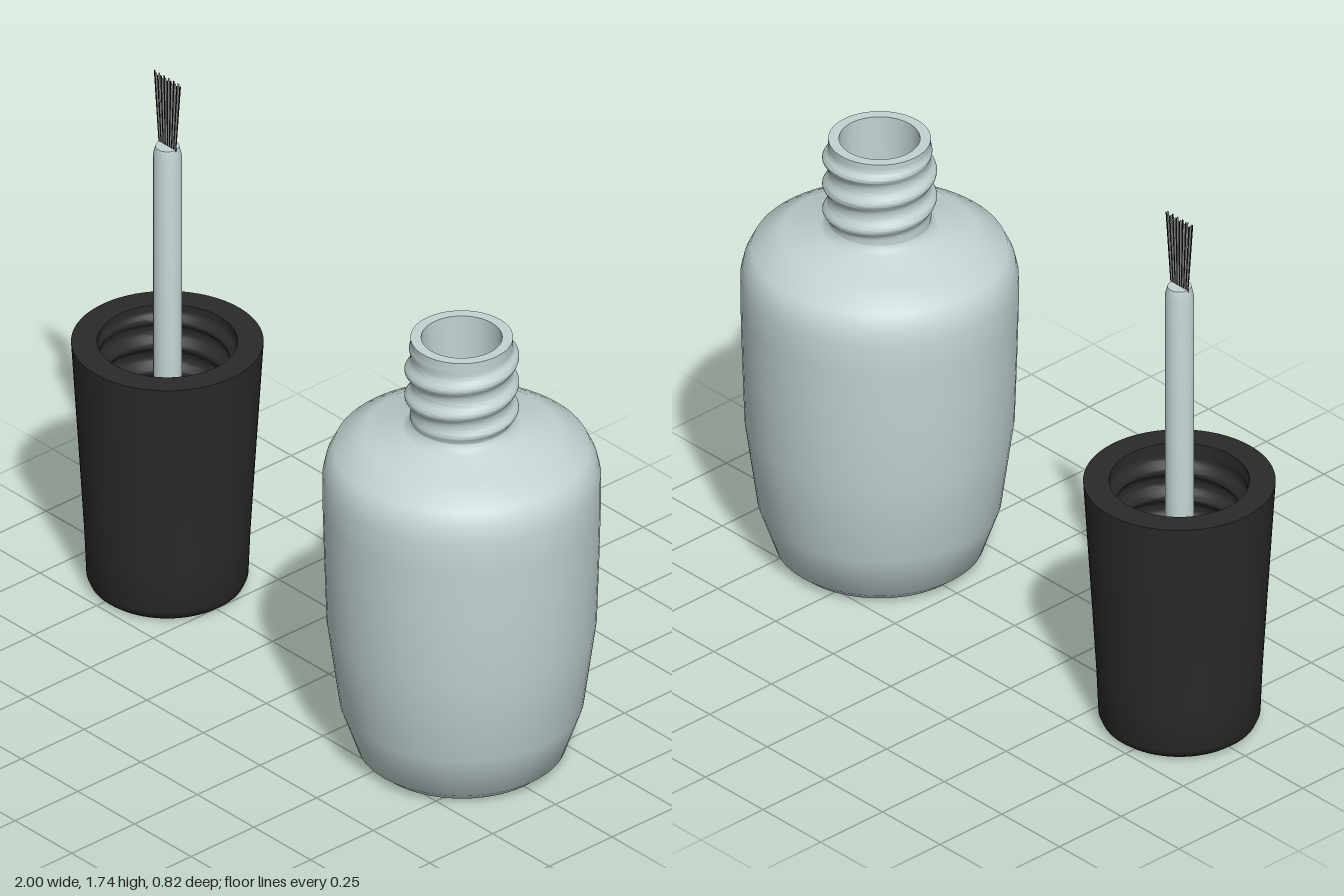
import * as THREE from 'three';
import { toCreasedNormals } from 'three/addons/utils/BufferGeometryUtils.js';

const SEGMENTS = 64;
const PITCH = 0.09;

function material(name, color) {
  const m = new THREE.MeshStandardMaterial({ color });
  m.name = name;
  return m;
}

// Turned part from [radius, height] pairs; corners sharper than crease stay sharp
function turned(name, points, mat, crease = 0.9, segments = SEGMENTS) {
  const profile = points.map(([r, y]) => new THREE.Vector2(r, y));
  const geometry = toCreasedNormals(new THREE.LatheGeometry(profile, segments), crease);
  const mesh = new THREE.Mesh(geometry, mat);
  mesh.name = name;
  return mesh;
}

// Cylinder wall with a helical ridge that fades out at both ends
function threaded(name, radius, y0, y1, depth, inward, mat) {
  const rows = 60, profile = [];
  for (let i = 0; i <= rows; i++) {
    const t = inward ? 1 - i / rows : i / rows;
    profile.push(new THREE.Vector2(radius, y0 + (y1 - y0) * t));
  }
  const lathe = new THREE.LatheGeometry(profile, SEGMENTS);
  const pos = lathe.attributes.position;
  for (let i = 0; i < pos.count; i++) {
    const x = pos.getX(i), y = pos.getY(i), z = pos.getZ(i);
    const phase = 2 * Math.PI * (y - y0) / PITCH - Math.atan2(x, z);
    const ridge = Math.pow(0.5 + 0.5 * Math.cos(phase), 1.5);
    const fade = THREE.MathUtils.smoothstep(y, y0, y0 + 0.04)
      * (1 - THREE.MathUtils.smoothstep(y, y1 - 0.06, y1 - 0.02));
    const scale = 1 + (inward ? -1 : 1) * depth * ridge * fade / radius;
    pos.setXYZ(i, x * scale, y, z * scale);
  }
  const mesh = new THREE.Mesh(toCreasedNormals(lathe, 1.2), mat);
  mesh.name = name;
  return mesh;
}

export function createModel() {
  const glass = material('pale grey', 0xc3d3d3);
  const black = material('black', 0x2a2a2a);
  const dark = material('bristle black', 0x0c0c0c);
  const grey = material('bristle grey', 0x929494);
  dark.side = grey.side = THREE.DoubleSide;

  const model = new THREE.Group();
  model.name = 'varnishBottleAndBrush';

  // Bottle with an open threaded neck
  const bottle = new THREE.Group();
  bottle.name = 'bottle';
  bottle.position.x = 0.586;
  bottle.add(
    turned('bottleBase', [[0, 0], [0.275, 0]], glass),
    turned('bottleBody', [
      [0.275, 0], [0.31, 0.03], [0.362, 0.18], [0.4, 0.46], [0.408, 0.7], [0.412, 0.86],
      [0.412, 0.96], [0.402, 1.005], [0.38, 1.05], [0.29, 1.1], [0.175, 1.122], [0.157, 1.135], [0.152, 1.15],
    ], glass),
    threaded('neckThread', 0.152, 1.15, 1.43, 0.018, false, glass),
    turned('neckRim', [[0.152, 1.43], [0.12, 1.43]], glass),
    turned('bottleInside', [
      [0.12, 1.43], [0.12, 1.1], [0.28, 1.06], [0.37, 0.96], [0.37, 0.46], [0.32, 0.18], [0.27, 0.05], [0, 0.05],
    ], glass),
  );
  model.add(bottle);

  // Upturned cap carrying the brush
  const cap = new THREE.Group();
  cap.name = 'capWithBrush';
  cap.position.x = -0.715;
  cap.add(
    turned('capEnd', [[0, 0], [0.215, 0]], black),
    turned('capShell', [
      [0.215, 0], [0.23, 0.012], [0.24, 0.035], [0.246, 0.18], [0.26, 0.42], [0.285, 0.83],
    ], black),
    turned('capRim', [[0.285, 0.83], [0.208, 0.83]], black),
    threaded('capInnerThread', 0.208, 0.46, 0.83, 0.025, true, black),
    turned('capFloor', [[0.208, 0.46], [0, 0.46]], black),
    turned('brushStem', [
      [0.043, 0.46], [0.043, 1.475], [0.036, 1.505], [0, 1.505],
    ], glass, 0.7, 16),
  );

  // Flat fan of bristles with a ragged tip
  const bristles = new THREE.Group();
  bristles.name = 'bristles';
  const count = 17, bottom = 1.5;
  for (let i = 0; i < count; i++) {
    const a = (i / count) * 2 - 1, b = ((i + 1) / count) * 2 - 1;
    const top = 1.742 - 0.012 * ((i * 7) % 3) / 2;
    const shape = new THREE.Shape([
      new THREE.Vector2(a * 0.039, bottom), new THREE.Vector2(b * 0.039, bottom),
      new THREE.Vector2(b * 0.06, top), new THREE.Vector2(a * 0.06, top),
    ]);
    const strand = new THREE.Mesh(new THREE.ShapeGeometry(shape), i % 2 ? grey : dark);
    strand.name = 'bristle';
    bristles.add(strand);
  }
  cap.add(bristles);
  model.add(cap);
  return model;
}
